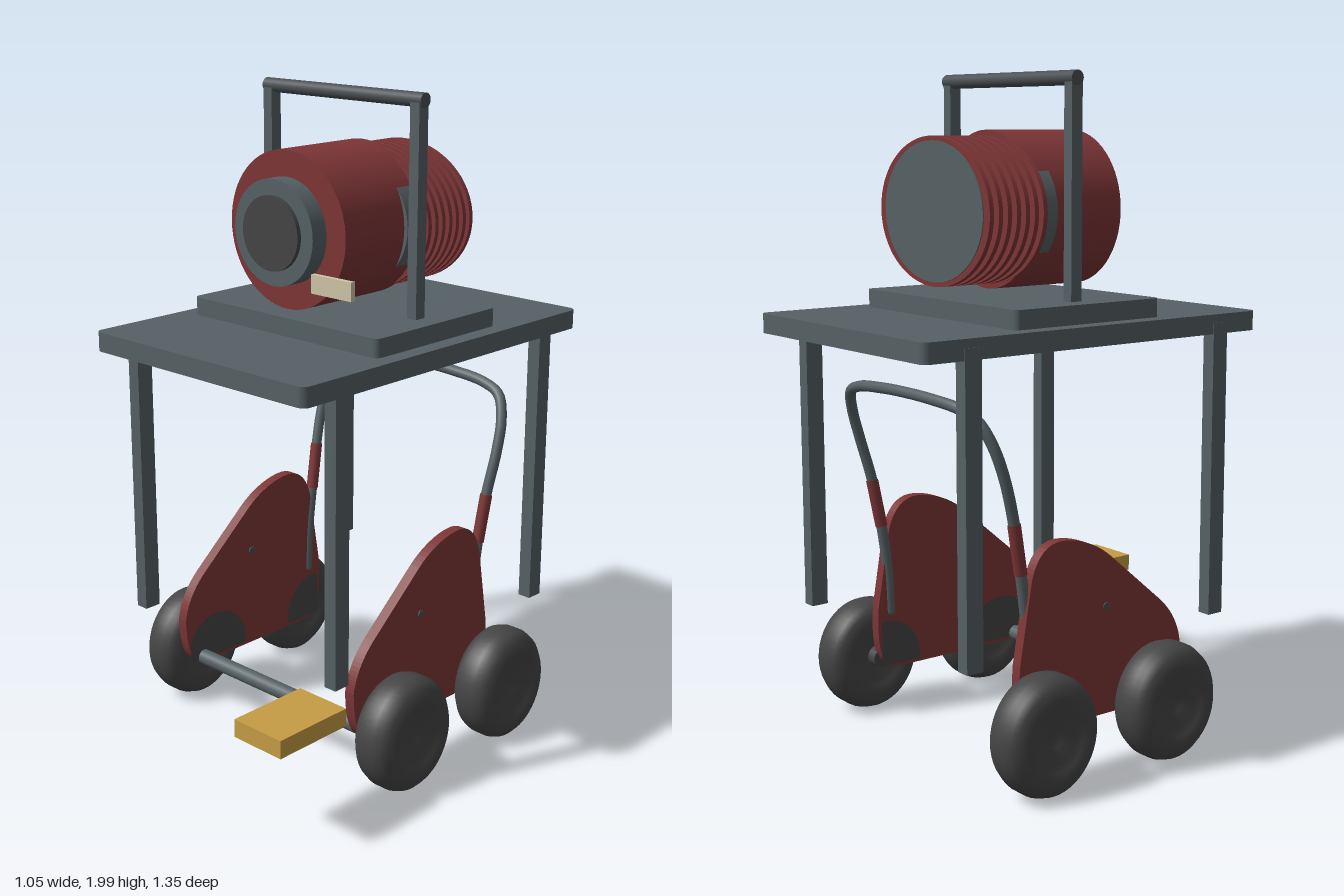
import * as THREE from 'three';

const mat = (name, color, side = THREE.FrontSide) => {
  const m = new THREE.MeshStandardMaterial({ color, side });
  m.name = name;
  return m;
};

export function createModel() {
  const steel = mat('steel grey', 0x566064);
  const darkSteel = mat('dark steel', 0x4a5053);
  const red = mat('dark red', 0x7d3536);
  const rubber = mat('rubber', 0x454545);
  const gold = mat('gold', 0xc79d45);
  const cream = mat('cream', 0xcfc4a8);

  const group = new THREE.Group();
  const add = (name, geo, material, x = 0, y = 0, z = 0) => {
    const m = new THREE.Mesh(geo, material);
    m.name = name;
    m.position.set(x, y, z);
    group.add(m);
    return m;
  };
  // Box given by its limits
  const box = (name, material, x0, x1, y0, y1, z0, z1) =>
    add(name, new THREE.BoxGeometry(x1 - x0, y1 - y0, z1 - z0), material,
      (x0 + x1) / 2, (y0 + y1) / 2, (z0 + z1) / 2);
  // Horizontal slab with rounded corners
  const slab = (name, material, x0, x1, y0, y1, z0, z1, r) => {
    const a = (x1 - x0) / 2, b = (z1 - z0) / 2;
    const s = new THREE.Shape();
    s.absarc(a - r, b - r, r, 0, Math.PI / 2);
    s.absarc(-a + r, b - r, r, Math.PI / 2, Math.PI);
    s.absarc(-a + r, -b + r, r, Math.PI, Math.PI * 1.5);
    s.absarc(a - r, -b + r, r, Math.PI * 1.5, Math.PI * 2);
    const g = new THREE.ExtrudeGeometry(s, { depth: y1 - y0, bevelEnabled: false, curveSegments: 6 });
    g.rotateX(-Math.PI / 2);
    return add(name, g, material, (x0 + x1) / 2, y0, (z0 + z1) / 2);
  };
  // Elliptic drum along z
  const drum = (name, material, rx, ry, z0, z1) => {
    const g = new THREE.CylinderGeometry(1, 1, z1 - z0, 64);
    g.rotateX(Math.PI / 2);
    g.scale(rx, ry, 1);
    return add(name, g, material, 0.003, 1.608, (z0 + z1) / 2);
  };
  // Round bar along x
  const bar = (name, material, r, x0, x1, y, z) => {
    const g = new THREE.CylinderGeometry(r, r, x1 - x0, 24);
    g.rotateZ(Math.PI / 2);
    return add(name, g, material, (x0 + x1) / 2, y, z);
  };

  // Table
  slab('tableTop', steel, -0.424, 0.43, 1.247, 1.305, -0.677, 0.523, 0.025);
  slab('basePlate', steel, -0.37, 0.377, 1.305, 1.36, -0.34, 0.182, 0.02);
  for (const x of [-0.405, 0.407])
    for (const z of [0.373, -0.522])
      box('tableLeg', steel, x - 0.021, x + 0.021, 0.395, 1.28, z - 0.027, z + 0.027);

  // Motor with cooling fins
  drum('motorBody', red, 0.229, 0.229, -0.16, 0.155);
  drum('motorCore', steel, 0.242, 0.2, -0.352, -0.09);
  for (let i = 0; i < 7; i++) {
    const z = -0.342 + i * 0.031;
    drum('coolingFin', red, 0.27, 0.213, z - 0.007, z + 0.007);
  }
  drum('motorNose', steel, 0.156, 0.153, 0.15, 0.21);
  drum('noseCap', rubber, 0.11, 0.108, 0.2, 0.223);
  box('tag', cream, 0.13, 0.283, 1.45, 1.505, 0.172, 0.188);

  // Carrying frame
  for (const x of [-0.287, 0.293])
    box('framePost', steel, x - 0.017, x + 0.017, 1.36, 1.98, -0.094, -0.056);
  bar('frameBar', darkSteel, 0.021, -0.307, 0.315, 1.979, -0.076);

  // Side panels, outline in z and y
  const outline = new THREE.Shape();
  outline.moveTo(0.2, 0.155);
  outline.quadraticCurveTo(0.27, 0.17, 0.272, 0.32);
  outline.quadraticCurveTo(0.26, 0.4, 0.19, 0.462);
  outline.lineTo(-0.01, 0.632);
  outline.bezierCurveTo(-0.07, 0.68, -0.14, 0.7, -0.19, 0.7);
  outline.bezierCurveTo(-0.25, 0.7, -0.285, 0.65, -0.295, 0.59);
  outline.lineTo(-0.335, 0.36);
  outline.quadraticCurveTo(-0.35, 0.17, -0.28, 0.155);
  outline.closePath();
  const panelGeo = new THREE.ExtrudeGeometry(outline, { depth: 0.034, bevelEnabled: false, curveSegments: 12 });
  panelGeo.translate(0, 0, -0.017);
  panelGeo.rotateY(-Math.PI / 2);

  // Tyre with dished hub, turned about x
  const tyre = [[0, 0.045], [0.03, 0.045], [0.035, 0.055], [0.075, 0.055], [0.095, 0.066],
    [0.12, 0.07], [0.15, 0.062], [0.168, 0.045], [0.177, 0.02]];
  const profile = [...tyre.map(([r, h]) => [r, -h]), ...tyre.slice().reverse()]
    .map(([r, h]) => new THREE.Vector2(r, h));
  const wheelGeo = new THREE.LatheGeometry(profile, 48);
  wheelGeo.rotateZ(-Math.PI / 2);
  wheelGeo.scale(1, 1, 0.92);

  for (const s of [-1, 1]) {
    const px = s * 0.363;
    add('sidePanel', panelGeo, red, px, 0, 0);
    bar('panelBolt', darkSteel, 0.012, px - 0.02, px + 0.02, 0.48, -0.02);
    for (const z of [0.143, -0.31]) {
      add('wheel', wheelGeo, rubber, s * 0.457, 0.183, z);
      bar('axleStub', rubber, 0.03, s * 0.43 - 0.06, s * 0.43 + 0.06, 0.183, z);
      // Wheel housing on the panel's inner face, trimmed to the panel
      const g = new THREE.CircleGeometry(0.128, 40);
      g.rotateY(-s * Math.PI / 2);
      g.translate(s * 0.344, 0.183, z);
      const p = g.attributes.position;
      for (let i = 0; i < p.count; i++) {
        p.setY(i, Math.max(p.getY(i), 0.165));
        p.setZ(i, THREE.MathUtils.clamp(p.getZ(i), -0.325, 0.255));
      }
      add('innerWheelDisc', g, rubber);
    }
  }
  bar('crossBar', steel, 0.024, -0.372, 0.366, 0.176, 0.2);

  // Push handle: half path mirrored; red sleeves where it meets the panels
  const half = [[0.355, 0.34, -0.288], [0.355, 0.48, -0.295], [0.356, 0.62, -0.314], [0.362, 0.77, -0.342],
    [0.368, 0.9, -0.378], [0.358, 0.995, -0.41], [0.325, 1.06, -0.435], [0.26, 1.085, -0.445], [0.13, 1.097, -0.45]];
  const points = [...half, [0, 1.1, -0.451], ...half.slice().reverse().map(([x, y, z]) => [-x, y, z])]
    .map((p) => new THREE.Vector3(...p));
  add('pushHandle', new THREE.TubeGeometry(new THREE.CatmullRomCurve3(points), 120, 0.0165, 14), steel);
  for (const s of [-1, 1]) {
    const path = half.slice(2, 4).map(([x, y, z]) => new THREE.Vector3(s * x, y, z));
    add('handleSleeve', new THREE.TubeGeometry(new THREE.CatmullRomCurve3(path), 8, 0.019, 14), red);
    // End plug of the tube
    add('handleEnd', new THREE.SphereGeometry(0.0165, 14, 8), steel, s * half[0][0], half[0][1], half[0][2]);
  }

  // Pedal
  box('pedal', gold, 0.31, 0.488, 0.318, 0.372, 0.42, 0.676);

  return group;
}
